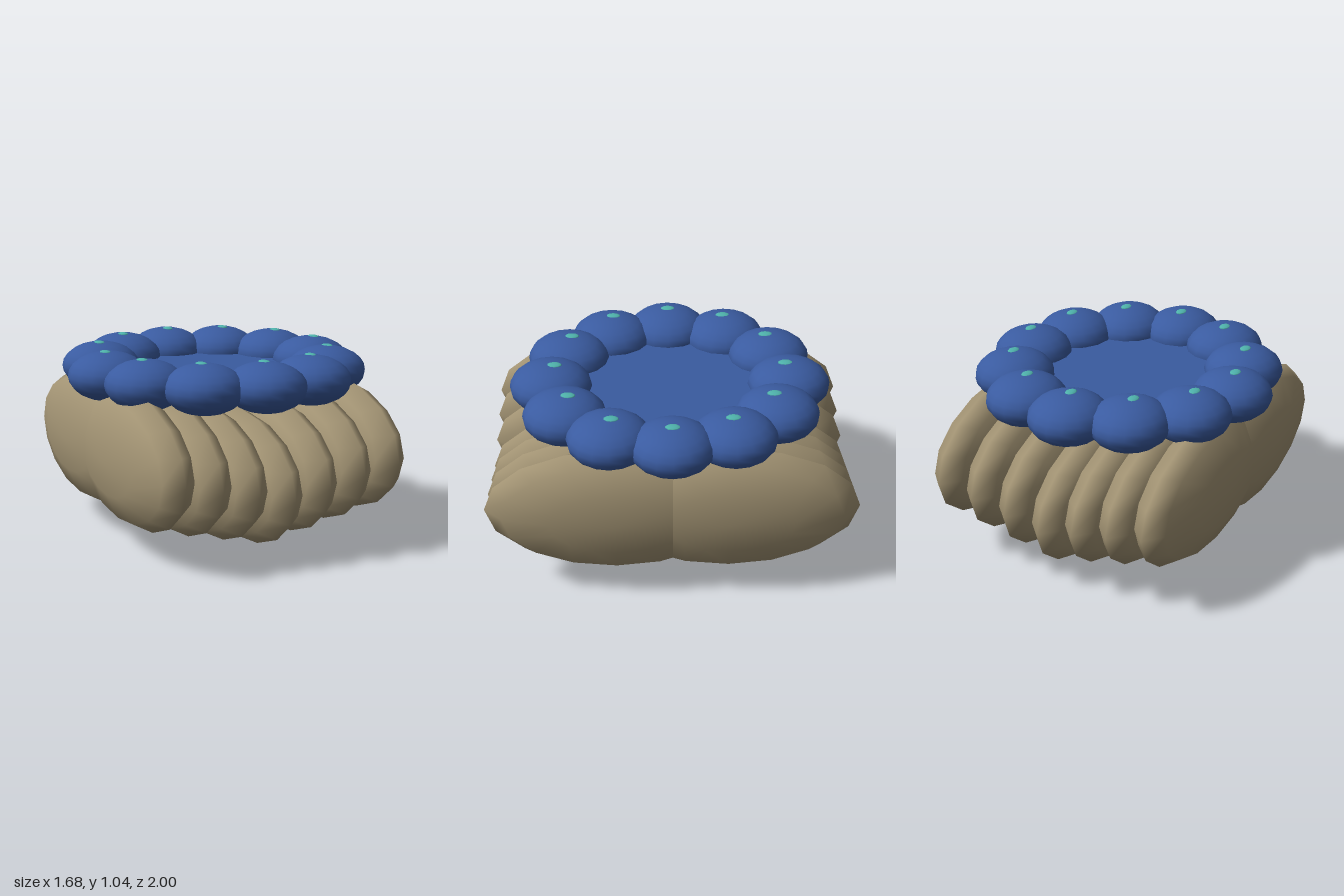
import * as THREE from 'three';

export function createModel() {
  const root = new THREE.Group();
  const brown = new THREE.MeshStandardMaterial({ color: 0xa39474 });
  const blue = new THREE.MeshStandardMaterial({ color: 0x3a5ba0 });
  const teal = new THREE.MeshStandardMaterial({ color: 0x4fb3ac });

  const add = (name, geometry, material, x, y, z) => {
    const mesh = new THREE.Mesh(geometry, material);
    mesh.name = name;
    mesh.position.set(x, y, z);
    root.add(mesh);
    return mesh;
  };

  // Body: seven rows of paired ellipsoids, sagging towards the middle
  const lobe = new THREE.SphereGeometry(1, 16, 6).rotateZ(Math.PI / 2).scale(0.175, 0.367, 0.7);
  for (let i = -3; i <= 3; i++) {
    for (const side of [1, -1]) {
      add(side > 0 ? 'frontBodyLobe' : 'backBodyLobe', lobe, brown,
        i * 0.203, 0.372 + 0.045 * Math.abs(i), side * 0.3);
    }
  }

  // Rim: twelve flattened beads, each with a small spot on top
  const bead = new THREE.SphereGeometry(1, 16, 12).scale(0.217, 0.135, 0.227);
  const spot = new THREE.SphereGeometry(1, 10, 6).scale(0.03, 0.01, 0.042);
  for (let i = 0; i < 12; i++) {
    const a = (i * Math.PI) / 6;
    const c = Math.cos(a), s = Math.sin(a);
    add('rimBead', bead, blue, c * 0.625, 0.903, s * 0.655);
    add('rimSpot', spot, teal, c * 0.64, 1.033, s * 0.632);
  }

  // Flat disc closing the ring
  const disc = new THREE.CylinderGeometry(0.6, 0.6, 0.06, 32);
  add('centreDisc', disc, blue, 0, 0.87, 0);

  return root;
}
